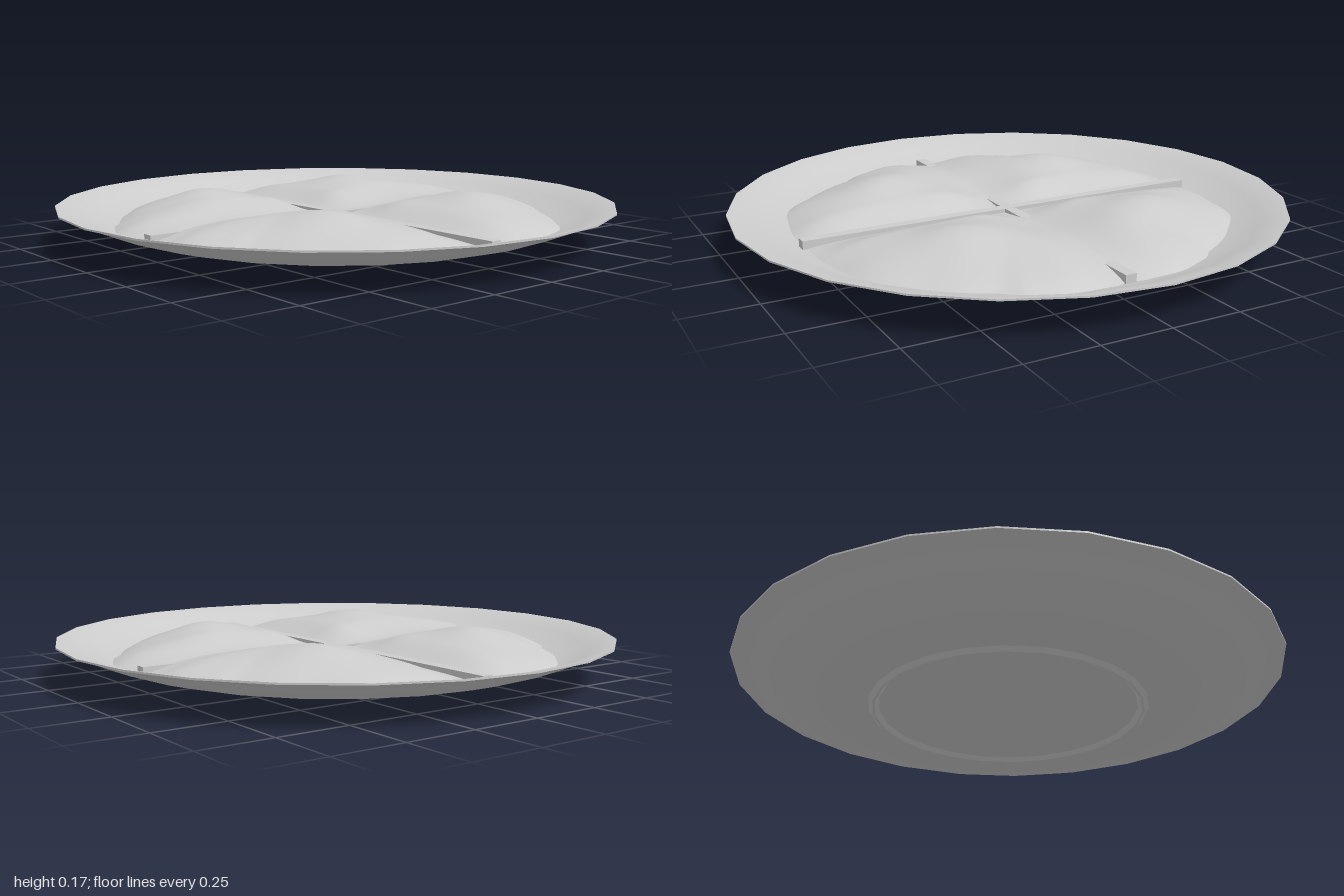
import * as THREE from 'three';
import { toCreasedNormals } from 'three/addons/utils/BufferGeometryUtils.js';

// Quarter outline of the filling: angle in degrees from the x axis, radius
const OUTLINE = [[0, 0.76], [4, 0.775], [15, 0.785], [30, 0.82], [45, 0.79], [60, 0.78],
  [66, 0.805], [77, 0.82], [87, 0.79], [90, 0.77]];

function outlineRadius(deg) {
  let k = 0;
  while (k < OUTLINE.length - 2 && deg > OUTLINE[k + 1][0]) k++;
  const [a, ra] = OUTLINE[k], [b, rb] = OUTLINE[k + 1];
  return THREE.MathUtils.lerp(ra, rb, THREE.MathUtils.smoothstep(deg, a, b));
}

// Lumpy height of the filling, sinking into grooves along both axes
function fillingHeight(x, z, t) {
  const ss = THREE.MathUtils.smoothstep;
  const edge = 1 - Math.pow(t, 5);
  const grooveX = ss(x, -0.01, 0.22);
  const grooveZ = ss(z, -0.01, 0.17);
  const bump = 0.026 * Math.exp(-((x - 0.38) ** 2 + (z - 0.33) ** 2) / 0.02);
  const ripple = 0.006 * Math.sin(11 * x + 3 * z) * Math.sin(13 * z - 2 * x + 0.6);
  const valley = 0.013 + 0.022 * ss(z, 0.1, 0.5) * grooveZ;
  return 0.067 + edge * (valley + 0.035 * grooveZ * (0.4 + 0.6 * grooveX) + 0.02 * grooveX * grooveZ
    + (bump + ripple) * grooveX * grooveZ);
}

// One quarter as a polar sheet, mirrored by the signs sx and sz
function quarterGeometry(sx, sz) {
  const nA = 48, nR = 32, pos = [], index = [];
  for (let i = 0; i <= nA; i++) {
    const deg = 90 * i / nA, a = THREE.MathUtils.degToRad(deg), R = outlineRadius(deg);
    for (let j = 0; j <= nR; j++) {
      const t = j / nR, x = R * t * Math.cos(a), z = R * t * Math.sin(a);
      pos.push(sx * x, fillingHeight(x, z, t), sz * z);
    }
  }
  for (let i = 0; i < nA; i++) {
    for (let j = 0; j < nR; j++) {
      const p = i * (nR + 1) + j, q = p + nR + 1;
      if (sx * sz > 0) index.push(p, q, p + 1, q, q + 1, p + 1);
      else index.push(p, p + 1, q, q, p + 1, q + 1);
    }
  }
  const g = new THREE.BufferGeometry();
  g.setAttribute('position', new THREE.Float32BufferAttribute(pos, 3));
  g.setIndex(index);
  g.computeVertexNormals();
  return g;
}

export function createModel() {
  const group = new THREE.Group();
  const grey = new THREE.MeshStandardMaterial({ color: 0xcccccc });
  grey.name = 'light grey';
  const add = (name, geometry) => {
    const mesh = new THREE.Mesh(geometry, grey);
    mesh.name = name;
    group.add(mesh);
    return mesh;
  };

  // Shallow dish with a recessed foot, from the underside out over the rim and back in
  const profile = [[0, 0.015], [0.47, 0.015], [0.485, 0], [0.495, 0], [0.51, 0.015], [0.62, 0.02],
    [0.72, 0.038], [0.82, 0.065], [0.9, 0.097], [0.96, 0.122], [1, 0.133], [1, 0.139], [0.96, 0.131],
    [0.9, 0.107], [0.82, 0.073], [0.7, 0.045], [0.5, 0.028], [0, 0.028]]
    .map(([x, y]) => new THREE.Vector2(x, y));
  add('plate', toCreasedNormals(new THREE.LatheGeometry(profile, 24), 0.6));

  // Four mirrored quarters of filling
  for (const sx of [-1, 1]) {
    for (const sz of [-1, 1]) add('fillingQuarter', quarterGeometry(sx, sz));
  }

  // Crossed divider strips lying in the grooves
  const stripX = add('dividerAcross', new THREE.BoxGeometry(1.57, 0.03, 0.04));
  stripX.position.set(0, 0.08, 0.005);
  const stripZ = add('dividerAlong', new THREE.BoxGeometry(0.04, 0.03, 1.57));
  stripZ.position.y = 0.0795;

  return group;
}
